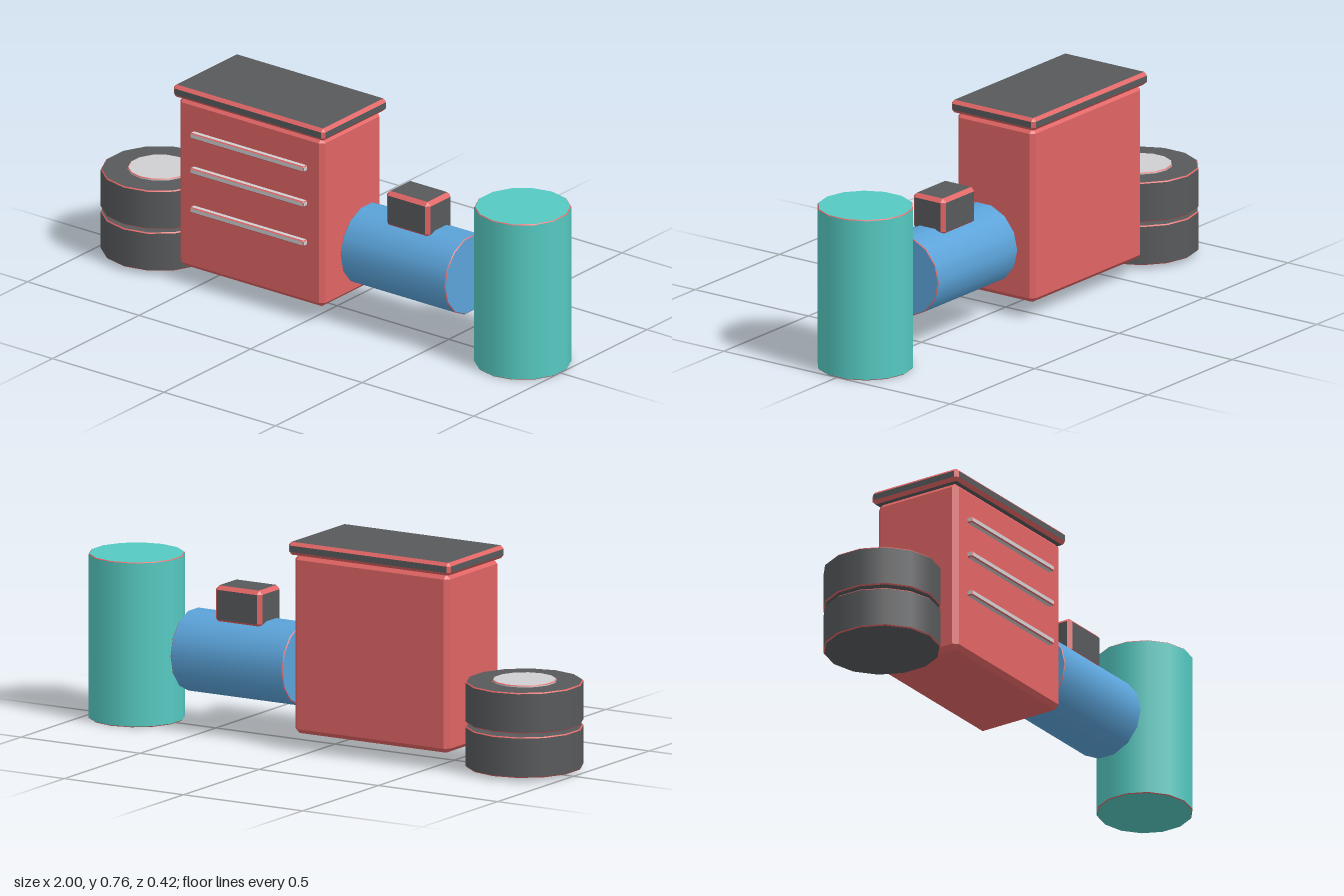
import * as THREE from 'three';
import { mergeGeometries } from 'three/addons/utils/BufferGeometryUtils.js';

const SIDES = 14;

function material(name, color) {
  const m = new THREE.MeshStandardMaterial({ color });
  m.name = name;
  return m;
}

// Box with chamfered edges: group 0 holds the faces, group 1 the chamfers
function chamferBox(w, h, d, b) {
  const half = [w / 2, h / 2, d / 2];
  const faces = [], bevels = [];
  // The corner point lying on the face of the given axis
  const corner = (signs, axis) => new THREE.Vector3(
    ...signs.map((s, i) => s * (i === axis ? half[i] : half[i] - b)));
  const triangle = (list, p, q, r) => {
    const n = q.clone().sub(p).cross(r.clone().sub(p));
    list.push(p, ...(n.dot(p) > 0 ? [q, r] : [r, q]));
  };
  const quad = (list, p, q, r, s) => {
    triangle(list, p, q, r);
    triangle(list, p, r, s);
  };
  for (let a = 0; a < 3; a++) {
    const u = (a + 1) % 3, v = (a + 2) % 3;
    const signs = (sa, su, sv) => {
      const out = [0, 0, 0];
      out[a] = sa; out[u] = su; out[v] = sv;
      return out;
    };
    for (const s of [-1, 1]) {
      quad(faces, corner(signs(s, -1, -1), a), corner(signs(s, 1, -1), a),
        corner(signs(s, 1, 1), a), corner(signs(s, -1, 1), a));
      for (const t of [-1, 1]) {
        const p = signs(-1, s, t), q = signs(1, s, t);
        quad(bevels, corner(p, u), corner(q, u), corner(q, v), corner(p, v));
      }
    }
  }
  for (const x of [-1, 1]) for (const y of [-1, 1]) for (const z of [-1, 1]) {
    const c = [x, y, z];
    triangle(bevels, corner(c, 0), corner(c, 1), corner(c, 2));
  }
  const g = new THREE.BufferGeometry().setFromPoints([...faces, ...bevels]);
  g.computeVertexNormals();
  g.addGroup(0, faces.length, 0);
  g.addGroup(faces.length, bevels.length, 1);
  return g;
}

// Upright cylinder with fine chamfered rims: group 0 the body, group 1 the rims
function chamferCylinder(r, h, b) {
  const y = h / 2;
  const cap = s => new THREE.CircleGeometry(r - b, SIDES, Math.PI / 2)
    .rotateX(-s * Math.PI / 2).translate(0, s * y, 0);
  const rim = s => new THREE.CylinderGeometry(
    s > 0 ? r - b : r, s > 0 ? r : r - b, b, SIDES, 1, true)
    .translate(0, s * (y - b / 2), 0);
  const body = mergeGeometries([
    new THREE.CylinderGeometry(r, r, h - 2 * b, SIDES, 1, true), cap(1), cap(-1)]);
  return mergeGeometries([body, mergeGeometries([rim(1), rim(-1)])], true);
}

export function createModel() {
  const model = new THREE.Group();
  model.name = 'workshopEquipment';
  const red = material('red', 0xe06464);
  const teal = material('teal', 0x55c9c1);
  const blue = material('blue', 0x5ba3d9);
  const dark = material('darkGrey', 0x58595b);
  const light = material('lightGrey', 0xcfcfd1);

  const add = (name, geometry, mat, x, y, z) => {
    const mesh = new THREE.Mesh(geometry, [mat, red]);
    mesh.name = name;
    mesh.position.set(x, y, z);
    model.add(mesh);
    return mesh;
  };

  // Tool cabinet with worktop and three drawer handles
  add('cabinet', chamferBox(0.65, 0.647, 0.344, 0.017), red, -0.257, 0.3865, 0);
  add('worktop', chamferBox(0.68, 0.047, 0.372, 0.012), dark, -0.257, 0.7335, 0);
  for (const y of [0.585, 0.45, 0.3]) {
    add('drawerHandle', chamferBox(0.51, 0.022, 0.024, 0.004), light, -0.257, y, 0.18);
  }

  // Stacked wheels with hubs
  for (const y of [0.088, 0.249]) {
    add('tyre', chamferCylinder(0.21, 0.147, 0.004), dark, -0.795, y, 0);
    add('hub', chamferCylinder(0.115, 0.13, 0.003), light, -0.795, y + 0.015, 0);
  }

  // Compressor: lying tank with a motor on top
  const tank = add('compressorTank', chamferCylinder(0.148, 0.47, 0.003), blue, 0.363, 0.275, 0);
  tank.rotation.z = Math.PI / 2;
  add('compressorMotor', chamferBox(0.195, 0.135, 0.142, 0.014), dark, 0.366, 0.466, 0);

  // Standing drum
  add('drum', chamferCylinder(0.172, 0.597, 0.003), teal, 0.832, 0.2985, 0);

  return model;
}
